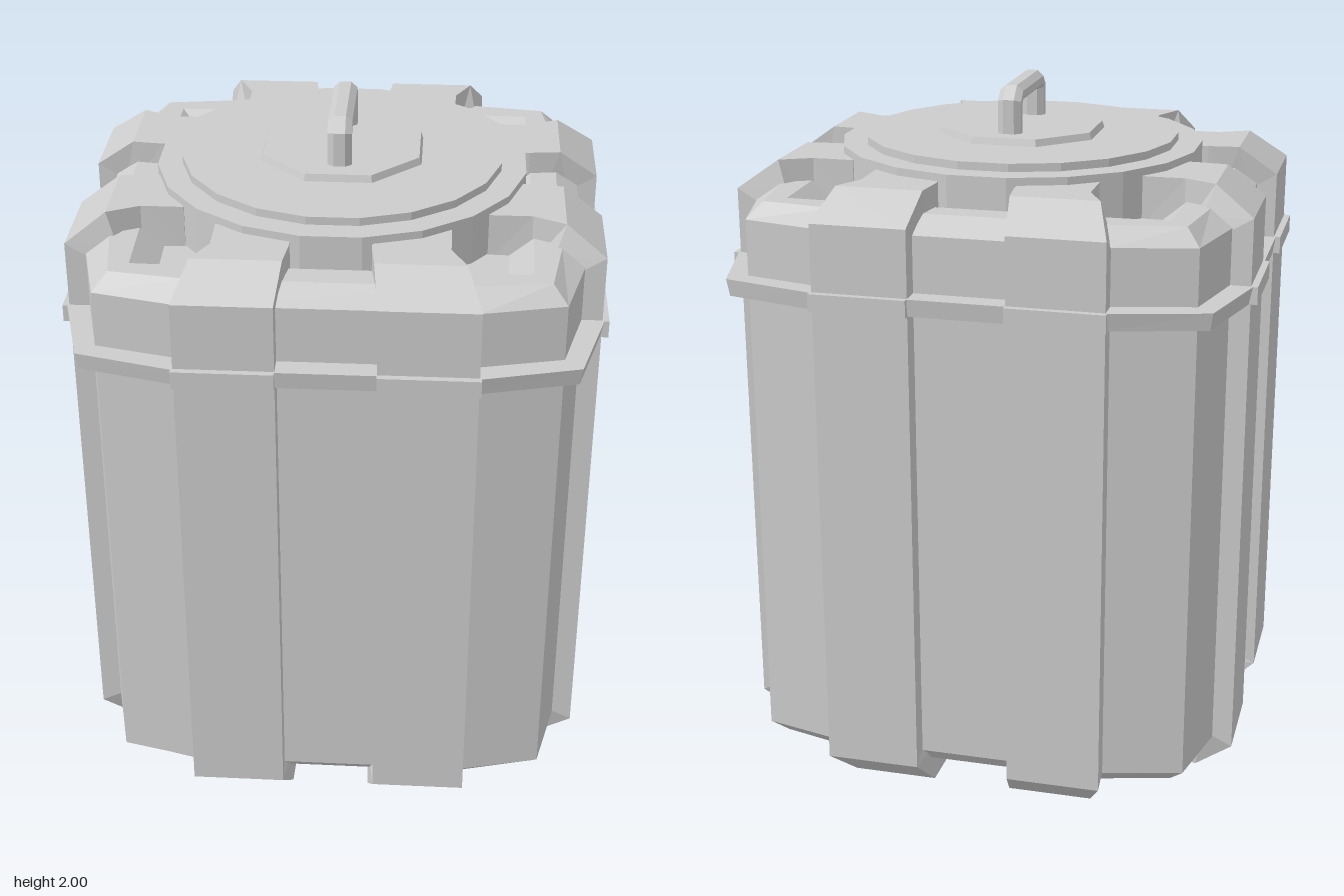
import * as THREE from 'three';

const V = (x, y, z) => new THREE.Vector3(x, y, z);

// Closed faceted solid through rings of equal point count, capped at both ends and wound outwards
function loft(rings) {
  const tris = [];
  const n = rings[0].length;
  for (let i = 0; i < rings.length - 1; i++) {
    for (let j = 0; j < n; j++) {
      const k = (j + 1) % n;
      const a = rings[i][j], b = rings[i][k], c = rings[i + 1][k], d = rings[i + 1][j];
      tris.push([a, b, c], [a, c, d]);
    }
  }
  const cap = (ring, flip) => {
    const mid = ring.reduce((s, p) => s.add(p), V(0, 0, 0)).divideScalar(n);
    ring.forEach((p, j) => {
      const q = ring[(j + 1) % n];
      tris.push(flip ? [mid, q, p] : [mid, p, q]);
    });
  };
  cap(rings[0], true);
  cap(rings[rings.length - 1], false);
  let volume = 0;
  for (const [a, b, c] of tris) volume += a.dot(b.clone().cross(c));
  const pos = [];
  for (const [a, b, c] of tris) {
    for (const p of volume < 0 ? [a, c, b] : [a, b, c]) pos.push(p.x, p.y, p.z);
  }
  const g = new THREE.BufferGeometry();
  g.setAttribute('position', new THREE.Float32BufferAttribute(pos, 3));
  g.computeVertexNormals();
  return g;
}

// Bowed square plan: corner at (c, c), flat sides at distance s for |x| < k
function plan(c, s, k, y) {
  const pts = [];
  for (let i = 0; i < 4; i++) {
    for (const [x, z] of [[-k, s], [k, s], [c, c]]) {
      pts.push(V(x, y, z).applyAxisAngle(V(0, 1, 0), i * Math.PI / 2));
    }
  }
  return pts;
}

export function createModel() {
  const model = new THREE.Group();
  model.name = 'container';
  const grey = new THREE.MeshStandardMaterial({ color: 0xcccccc, flatShading: true });
  grey.name = 'grey';

  const add = (name, geometry, parent = model) => {
    const mesh = new THREE.Mesh(geometry, grey);
    mesh.name = name;
    parent.add(mesh);
    return mesh;
  };

  // Body with a recessed underside, bevelled edges and a sunken top
  add('body', loft([
    plan(0.55, 0.57, 0.36, 0.11),
    plan(0.56, 0.59, 0.37, 0.08),
    plan(0.59, 0.645, 0.38, 0.08),
    plan(0.63, 0.685, 0.40, 0.125),
    plan(0.63, 0.685, 0.40, 1.69),
    plan(0.59, 0.62, 0.38, 1.735),
    plan(0.54, 0.545, 0.32, 1.735),
    plan(0.475, 0.48, 0.29, 1.68),
  ]));

  // Seam flange around the body
  add('flange', loft([
    plan(0.67, 0.74, 0.40, 1.48),
    plan(0.677, 0.747, 0.41, 1.53),
  ]));

  // Ribs: outer r, outer y, inner r, inner y, then near and far side offsets (outer, inner)
  const ribSections = [
    [0.48, 0.00, 0.48, 0.115, 0.11, 0.31, 0.31],
    [0.63, 0.00, 0.60, 0.115, 0.115, 0.36, 0.36],
    [0.742, 0.10, 0.66, 0.14, 0.135, 0.405, 0.405],
    [0.742, 1.72, 0.66, 1.67, 0.135, 0.405, 0.405],
    [0.63, 1.80, 0.60, 1.71, 0.12, 0.365, 0.385],
    [0.54, 1.80, 0.54, 1.66, 0.11, 0.32, 0.325],
    [0.42, 1.80, 0.42, 1.66, 0.11, 0.32, 0.32],
  ];
  for (let i = 0; i < 4; i++) {
    const side = new THREE.Group();
    side.name = 'ribSide';
    side.rotation.y = i * Math.PI / 2;
    model.add(side);
    for (const m of [-1, 1]) {
      add('rib', loft(ribSections.map(([ro, yo, ri, yi, near, far, farIn]) => [
        V(m * near, yo, ro), V(m * far, yo, ro), V(m * farIn, yi, ri), V(m * near, yi, ri),
      ])), side);
      add('flangeBand', new THREE.BoxGeometry(0.275, 0.05, 0.06), side)
        .position.set(m * 0.2725, 1.505, 0.731);
    }
  }

  // Stepped lid discs, each with flats facing the four sides
  const disc = (name, bottomApothem, topApothem, y0, y1, sides) => {
    const f = 1 / Math.cos(Math.PI / sides);
    const g = new THREE.CylinderGeometry(topApothem * f, bottomApothem * f, y1 - y0, sides);
    g.rotateY(Math.PI / sides);
    add(name, g).position.y = (y0 + y1) / 2;
  };
  disc('lidDisc', 0.525, 0.525, 1.66, 1.822, 20);
  disc('lidStep', 0.455, 0.455, 1.82, 1.845, 20);
  disc('handlePlate', 0.23, 0.222, 1.84, 1.865, 8);

  // Handle: outer z, outer y, inner z, inner y along one half, mirrored for the other
  const half = [
    [0.168, 1.86, 0.122, 1.86],
    [0.168, 1.963, 0.122, 1.944],
    [0.13, 2.0, 0.120, 1.946],
  ];
  const arch = [...half, ...half.slice().reverse().map(([a, b, c, d]) => [-a, b, -c, d])];
  const section = [[-0.016, 0], [0.016, 0], [0.034, 0.3], [0.034, 0.7],
    [0.016, 1], [-0.016, 1], [-0.034, 0.7], [-0.034, 0.3]];
  add('handle', loft(arch.map(([zo, yo, zi, yi]) =>
    section.map(([x, t]) => V(x, yo + (yi - yo) * t, zo + (zi - zo) * t)))));

  return model;
}
